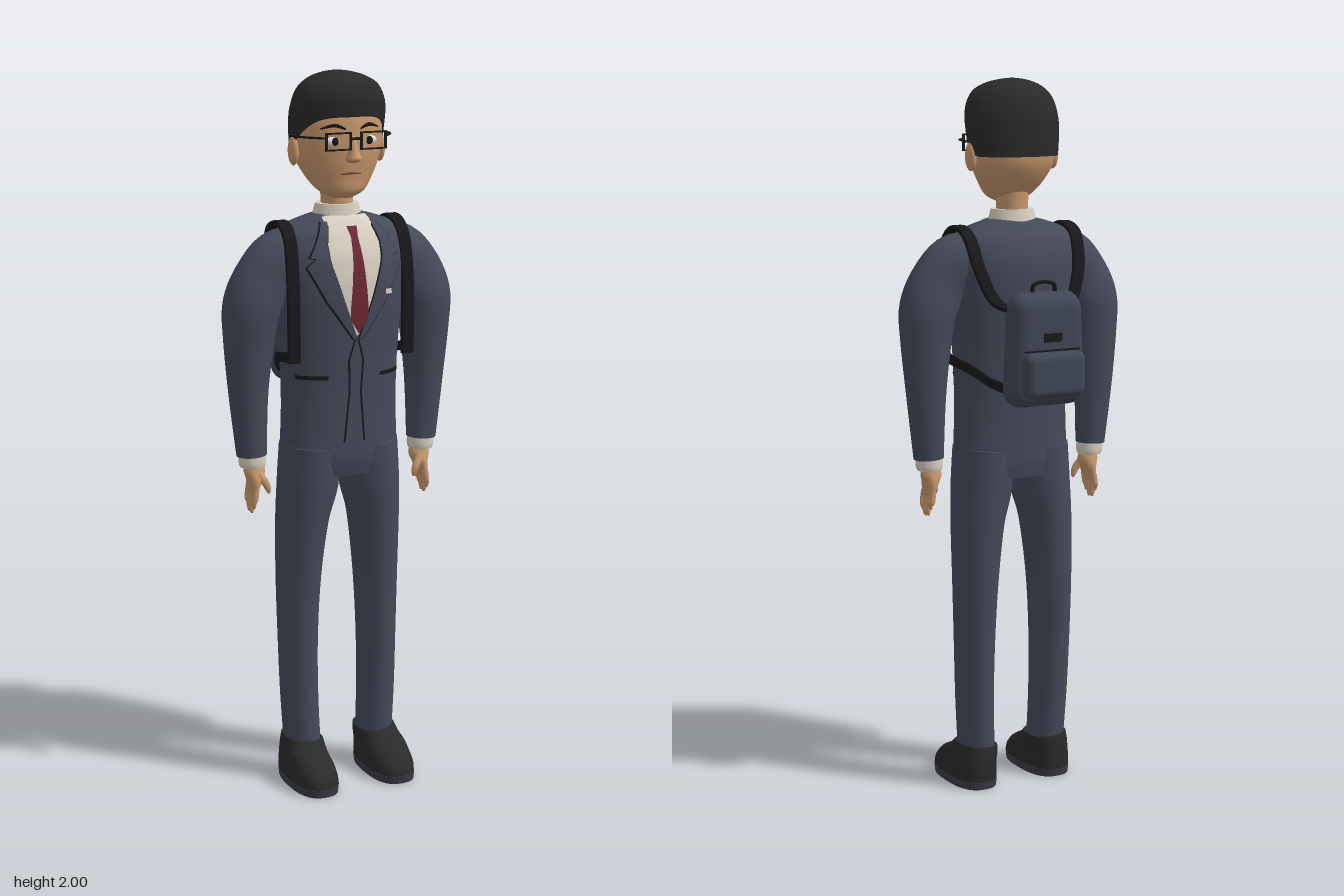
import * as THREE from 'three';
import { RoundedBoxGeometry } from 'three/addons/geometries/RoundedBoxGeometry.js';

const mat = (name, color) => Object.assign(new THREE.MeshStandardMaterial({ color }), { name });
const M = {
  suit: mat('suit navy', 0x454a5a), pack: mat('backpack blue', 0x3f4655), black: mat('black', 0x18181a),
  dark: mat('charcoal', 0x2a2a2b), sole: mat('sole grey', 0x3c3a46), skin: mat('skin', 0xc8986c),
  shirt: mat('shirt cream', 0xd9d1c2), tie: mat('tie red', 0x6e2836), lip: mat('lip brown', 0x7c5340),
  white: mat('eye white', 0xe4e0da),
};
const X = new THREE.Vector3(1, 0, 0), Y = new THREE.Vector3(0, 1, 0), Z = new THREE.Vector3(0, 0, 1);

// smooth rows of [x, y, z, radiusA, radiusB] with a spline
function smooth(rows, k = 5) {
  const out = [], at = i => rows[Math.max(0, Math.min(rows.length - 1, i))];
  for (let i = 0; i < rows.length - 1; i++) for (let s = 0; s < k; s++) {
    const t = s / k;
    out.push(rows[i].map((b, c) => {
      const a = at(i - 1)[c], d = at(i + 1)[c], e = at(i + 2)[c];
      return b + 0.5 * t * (d - a + t * (2 * a - 5 * b + 4 * d - e + t * (3 * (b - d) + e - a)));
    }));
  }
  out.push(rows[rows.length - 1]);
  return out;
}

// superelliptic cross-sections swept along the rows; radiusB lies along the axis
function sweep(rows, { axis = Z, n = 2, seg = 28, k = 5 } = {}) {
  const R = smooth(rows, k), pos = [], idx = [], L = R.length;
  const P = R.map(r => new THREE.Vector3(r[0], r[1], r[2]));
  const se = v => Math.sign(v) * Math.abs(v) ** (2 / n);
  const ring = i => {
    const T = P[Math.min(L - 1, i + 1)].clone().sub(P[Math.max(0, i - 1)]);
    T.addScaledVector(axis, -T.dot(axis));
    const N = T.cross(axis).normalize();
    for (let j = 0; j < seg; j++) {
      const a = j / seg * Math.PI * 2;
      const p = P[i].clone().addScaledVector(N, R[i][3] * se(Math.cos(a))).addScaledVector(axis, R[i][4] * se(Math.sin(a)));
      pos.push(p.x, p.y, p.z);
    }
  };
  for (let i = 0; i < L; i++) ring(i);
  for (let i = 0; i < L - 1; i++) for (let j = 0; j < seg; j++) {
    const a = i * seg + j, b = i * seg + (j + 1) % seg;
    idx.push(a, a + seg, b, b, a + seg, b + seg);
  }
  for (const i of [0, L - 1]) { // end caps
    const base = pos.length / 3;
    ring(i);
    pos.push(...P[i].toArray());
    for (let j = 0; j < seg; j++) {
      const a = base + j, b = base + (j + 1) % seg;
      idx.push(base + seg, i ? b : a, i ? a : b);
    }
  }
  return build(pos, idx);
}
function build(pos, idx) {
  const g = new THREE.BufferGeometry();
  g.setAttribute('position', new THREE.Float32BufferAttribute(pos, 3));
  g.setIndex(idx);
  g.computeVertexNormals();
  return g;
}

// jacket body, also used to lay the clothing details on its front
const torso = [[0, .97, .042, .171, .102], [0, 1.1, .042, .166, .104], [0, 1.25, .042, .17, .112], [0, 1.4, .04, .185, .124],
  [0, 1.5, .034, .198, .12], [0, 1.56, .03, .188, .1], [0, 1.59, .03, .155, .08], [0, 1.61, .03, .1, .062], [0, 1.622, .03, .05, .045]];
const dense = smooth(torso, 8), EXP = 2.2;
function frontZ(x, y) {
  let i = 0;
  while (i < dense.length - 2 && dense[i + 1][1] < y) i++;
  const t = THREE.MathUtils.clamp((y - dense[i][1]) / (dense[i + 1][1] - dense[i][1]), 0, 1);
  const [z, rx, rz] = [2, 3, 4].map(c => THREE.MathUtils.lerp(dense[i][c], dense[i + 1][c], t));
  return z + rz * Math.max(0, 1 - Math.abs(x / rx) ** EXP) ** (1 / EXP);
}
// thin cloth panel from rows of [y, xFrom, xTo], top to bottom; s = -1 mirrors it
function panel(rows, lift, s = 1) {
  const R = [], pos = [], idx = [], m = 8;
  rows.forEach((r, i) => {
    const q = rows[i + 1];
    for (let t = 0; q ? t < 6 : t < 1; t++) R.push(q ? r.map((v, c) => v + (q[c] - v) * t / 6) : r);
  });
  R.forEach(([y, a, b], i) => {
    if (s < 0) [a, b] = [-b, -a];
    for (let j = 0; j <= m; j++) {
      const x = a + (b - a) * j / m, p = i * (m + 1) + j;
      pos.push(x, y, frontZ(x, y) + lift);
      if (i < R.length - 1 && j < m) idx.push(p, p + m + 1, p + 1, p + 1, p + m + 1, p + m + 2);
    }
  });
  return build(pos, idx);
}

export function createModel() {
  const root = new THREE.Group();
  const add = (name, geo, m, x = 0, y = 0, z = 0) => {
    const o = new THREE.Mesh(geo, m);
    o.name = name;
    o.position.set(x, y, z);
    root.add(o);
    return o;
  };
  const ball = (name, m, p, r) => add(name, new THREE.SphereGeometry(1, 20, 14), m, ...p).scale.set(...r);
  for (const k of ['suit', 'shirt', 'tie', 'black']) M[k].side = THREE.DoubleSide;

  // body
  add('jacket', sweep(torso, { n: EXP, seg: 40 }), M.suit);
  add('pelvis', sweep([[0, .9, .04, .165, .09], [0, .95, .041, .172, .1], [0, 1.02, .042, .167, .1]], { n: EXP }), M.suit);
  add('neck', sweep([[0, 1.58, .03, .05, .047], [0, 1.65, .03, .044, .045], [0, 1.73, .03, .05, .05]]), M.skin);
  add('collar', sweep([[0, 1.595, .03, .07, .062], [0, 1.62, .03, .067, .058], [0, 1.645, .03, .06, .054]]), M.shirt);

  // head and hair
  add('head', sweep([[0, 1.663, .062, .028, .03], [0, 1.682, .056, .064, .06], [0, 1.72, .04, .094, .082], [0, 1.77, .03, .118, .1],
    [0, 1.83, .03, .126, .105], [0, 1.9, .03, .12, .1], [0, 1.96, .03, .08, .07]], { seg: 36 }), M.skin);
  const hair = sweep([[0, 1.79, .028, .131, .108], [0, 1.85, .03, .135, .111], [0, 1.9, .03, .131, .109], [0, 1.95, .03, .113, .096],
    [0, 1.98, .03, .08, .07], [0, 1.995, .03, .04, .035], [0, 2, .03, .004, .004]], { seg: 48 });
  const hp = hair.attributes.position;
  for (let i = 0; i < hp.count; i++) { // raise the hairline towards the forehead
    const y = hp.getY(i), f = THREE.MathUtils.clamp((2 - y) / .21, 0, 1);
    hp.setY(i, y + .095 * f * THREE.MathUtils.smoothstep(hp.getZ(i), -.01, .135));
  }
  hair.computeVertexNormals();
  add('hair', hair, M.dark);
  add('nose', sweep([[0, 1.762, .128, .012, .014], [0, 1.772, .136, .021, .026], [0, 1.79, .135, .015, .021], [0, 1.835, .128, .008, .01]], { seg: 16 }), M.skin);
  add('mouth', sweep([[-.03, 1.731, .115, .003, .006], [0, 1.734, .122, .004, .006], [.03, 1.731, .115, .003, .006]], { seg: 10 }), M.lip);
  add('glassesBridge', new THREE.BoxGeometry(.03, .007, .006), M.black, 0, 1.828, .152);

  // shirt and tie
  add('shirtFront', panel([[1.615, -.065, .065], [1.55, -.083, .083], [1.5, -.076, .076], [1.4, -.045, .045], [1.3, -.004, .004]], .006), M.shirt);
  add('tie', panel([[1.592, -.015, .015], [1.565, -.01, .01], [1.38, -.026, .026], [1.345, -.025, .025], [1.308, -.001, .001]], .016), M.tie);

  for (const s of [1, -1]) {
    const side = s > 0 ? 'left' : 'right';
    const part = (name, rows, m, o) => add(side + name, sweep(rows.map(([x, ...r]) => [x * s, ...r]), o), m);
    const cloth = (name, rows, lift, m) => add(side + name, panel(rows, lift, s), m);

    // legs and shoes
    part('TrouserLeg', [[.113, .1, .04, .051, .061], [.12, .25, .036, .052, .066], [.122, .42, .032, .054, .073], [.119, .6, .031, .061, .08],
      [.109, .77, .036, .072, .09], [.094, .87, .04, .084, .096], [.086, .98, .041, .084, .099]], M.suit);
    part('Sole', [[.119, 0, .097, .064, .126], [.119, .022, .097, .066, .129]], M.sole, { n: 2.6 });
    part('Shoe', [[.119, .02, .097, .065, .127], [.119, .045, .093, .065, .124], [.118, .075, .077, .061, .108],
      [.115, .1, .052, .057, .082], [.113, .122, .04, .054, .066]], M.dark, { n: 2.6 });

    // arms and hands
    part('Sleeve', [[.08, 1.5, .032, .07, .075], [.165, 1.5, .036, .085, .07], [.22, 1.452, .04, .084, .067], [.256, 1.38, .04, .081, .074],
      [.265, 1.29, .038, .071, .067], [.267, 1.14, .035, .055, .054], [.26, .965, .037, .042, .041]], M.suit);
    part('Cuff', [[.259, .975, .037, .038, .037], [.258, .945, .037, .038, .037], [.258, .932, .037, .034, .034]], M.shirt);
    part('Palm', [[.256, .945, .037, .02, .02], [.253, .92, .038, .03, .027], [.255, .895, .04, .02, .034], [.26, .865, .04, .011, .034], [.262, .85, .04, .007, .03]], M.skin, { seg: 16 });
    [.013, .031, .049, .067].forEach((z, i) => {
      const tip = [.825, .805, .803, .818][i];
      part('Finger', [[.259, .872, z, .009, .009], [.263, .845, z, .009, .009], [.266, tip + .012, z * .9 + .004, .007, .008], [.264, tip, z * .9 + .004, .003, .004]], M.skin, { seg: 10, k: 3 });
    });
    part('Thumb', [[.25, .915, .055, .012, .013], [.232, .89, .066, .011, .011], [.224, .87, .068, .008, .008], [.222, .858, .068, .003, .003]], M.skin, { seg: 10, k: 3 });

    // jacket details
    const lapel = [[1.605, .062, .078], [1.55, .078, .108], [1.515, .077, .128], [1.512, .077, .112], [1.49, .072, .137], [1.4, .043, .09], [1.29, .002, .012]];
    cloth('LapelEdge', lapel.map(([y, a, b]) => [y - .002, a - .003, b + .004]), .008, M.black);
    cloth('Lapel', lapel, .013, M.suit);
    cloth('CollarWing', [[1.617, .006, .06], [1.6, .014, .066], [1.565, .04, .05]], .012, M.shirt);
    cloth('JacketEdge', [[1.29, .002, .007], [1.23, .018, .024], [1.14, .014, .02], [1, .027, .033]], .004, M.black);
    cloth('HipPocket', [[1.19, .078, .155], [1.179, .076, .152]], .004, M.black);

    // face
    add(side + 'Ear', new THREE.SphereGeometry(1, 16, 12), M.skin, s * .128, 1.79, .03).scale.set(.013, .04, .024);
    ball(side + 'Eye', M.white, [s * .05, 1.82, .122], [.025, .013, .009]);
    ball(side + 'Pupil', M.black, [s * .05, 1.82, .129], [.01, .011, .005]);
    part('Brow', [[.022, 1.852, .131, .003, .005], [.05, 1.862, .126, .005, .005], [.084, 1.853, .108, .002, .005]], M.black, { seg: 10 });
    const rim = new THREE.TorusGeometry(.05, .0055, 8, 4).rotateZ(Math.PI / 4).scale(1, .62, .8);
    add(side + 'GlassesRim', rim, M.black, s * .051, 1.822, .152);
    part('GlassesTemple', [[.086, 1.832, .152, .004, .003], [.125, 1.832, .1, .004, .003], [.139, 1.83, .03, .004, .003]], M.black, { axis: Y, seg: 8 });

    // backpack straps
    part('ShoulderStrap', [[.17, 1.23, .125, .007, .018], [.17, 1.35, .125, .007, .018], [.17, 1.47, .118, .007, .018], [.168, 1.56, .095, .007, .018],
      [.166, 1.598, .04, .007, .018], [.166, 1.575, -.03, .007, .018], [.155, 1.49, -.07, .007, .018], [.125, 1.41, -.095, .007, .018], [.095, 1.385, -.13, .007, .018]], M.black, { axis: X, n: 6 });
    part('LowerStrap', [[.168, 1.245, .125, .005, .014], [.184, 1.235, .05, .005, .014], [.155, 1.21, -.03, .005, .014], [.125, 1.18, -.085, .005, .014], [.09, 1.165, -.13, .005, .014]], M.black, { axis: Y, n: 6 });
  }
  add('pocketSquare', panel([[1.422, .082, .102], [1.408, .084, .104]], .015), M.shirt);

  // backpack
  const bag = new RoundedBoxGeometry(.236, .312, .1, 6, .046), bp = bag.attributes.position;
  for (let i = 0; i < bp.count; i++) bp.setX(i, bp.getX(i) * (1 - .12 * THREE.MathUtils.smoothstep(bp.getY(i), 0, .156)));
  add('backpack', bag, M.pack, 0, 1.276, -.146);
  add('backpackPocket', new RoundedBoxGeometry(.184, .125, .06, 5, .024), M.pack, 0, 1.212, -.2);
  add('pocketZip', new RoundedBoxGeometry(.17, .005, .02, 2, .002), M.black, 0, 1.277, -.19);
  add('backpackLabel', new THREE.BoxGeometry(.055, .024, .006), M.black, 0, 1.312, -.197);
  add('backpackHandle', sweep([[-.034, 1.42, -.146, .005, .007], [-.032, 1.45, -.146, .005, .007], [0, 1.458, -.146, .005, .007],
    [.032, 1.45, -.146, .005, .007], [.034, 1.42, -.146, .005, .007]], { seg: 10 }), M.black);
  return root;
}
